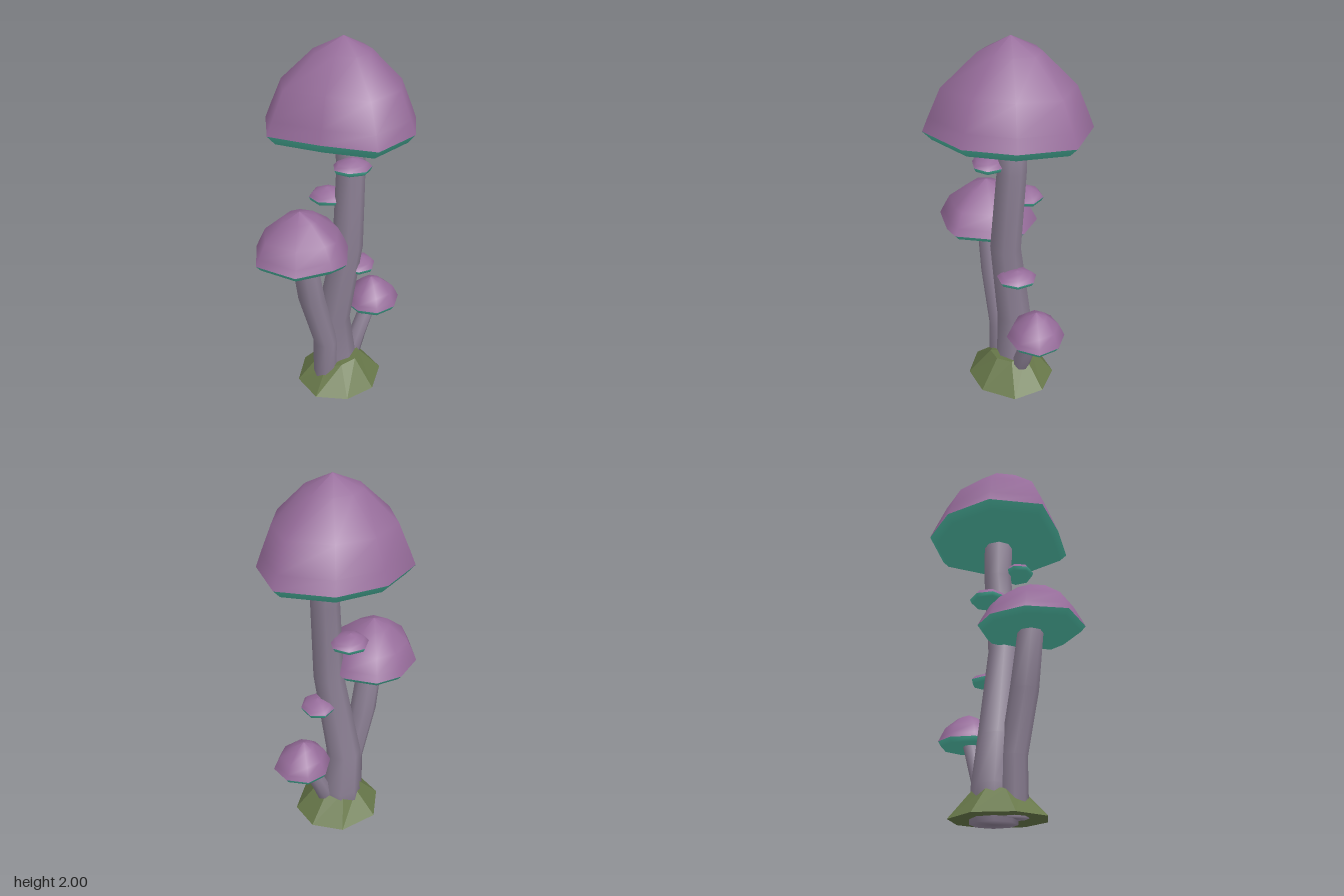
import * as THREE from 'three';

const mat = (name, color, extra = {}) => Object.assign(new THREE.MeshStandardMaterial({ color, ...extra }), { name });

// Skins a stack of closed rings (arrays of [x, y, z]), listed from bottom to top
function loft(rings, { closeBottom = false, closeTop = false } = {}) {
  const n = rings[0].length, pos = rings.flat(2), idx = [];
  for (let r = 0; r < rings.length - 1; r++) {
    for (let i = 0; i < n; i++) {
      const a = r * n + i, b = r * n + (i + 1) % n;
      idx.push(a, a + n, b, b, a + n, b + n);
    }
  }
  const addFan = (ring, start, up) => {
    const c = pos.length / 3;
    for (let k = 0; k < 3; k++) pos.push(ring.reduce((s, p) => s + p[k], 0) / n);
    for (let i = 0; i < n; i++) {
      const a = start + i, b = start + (i + 1) % n;
      idx.push(c, up ? b : a, up ? a : b);
    }
  };
  if (closeBottom) addFan(rings[0], 0, false);
  if (closeTop) addFan(rings[rings.length - 1], (rings.length - 1) * n, true);
  const g = new THREE.BufferGeometry();
  g.setAttribute('position', new THREE.Float32BufferAttribute(pos, 3));
  g.setIndex(idx);
  g.computeVertexNormals();
  return g;
}

// Points around an ellipse in plan, running from +x towards +z
function ellipse(cx, cz, rx, rz, n, phase = 0) {
  return Array.from({ length: n }, (_, i) => {
    const a = phase + i / n * Math.PI * 2;
    return [cx + Math.cos(a) * rx, cz + Math.sin(a) * rz];
  });
}

export function createModel() {
  const group = new THREE.Group();
  const purple = mat('cap purple', 0x966c9a);
  const teal = mat('gill teal', 0x52c4ac);
  const grey = mat('stem mauve grey', 0x8b7f93);
  const moss = mat('mossy ground', 0x68784a, { flatShading: true });

  const add = (name, geometry, material, parent = group) => {
    const mesh = new THREE.Mesh(geometry, material);
    mesh.name = name;
    parent.add(mesh);
  };

  // Faceted dome with a tapered gill plate below; rim is the outline in plan
  function cap(name, rim, [cx, cz], bottom, edge, top) {
    const part = new THREE.Group();
    part.name = name;
    group.add(part);
    const ring = (s, y) => rim.map(([x, z]) => [cx + (x - cx) * s, y, cz + (z - cz) * s]);
    const h = top - edge;
    const profile = [[1, 0], [0.93, 0.16], [0.78, 0.48], [0.37, 0.84], [0.001, 1]];
    add(name + 'Dome', loft(profile.map(([s, t]) => ring(s, edge + h * t))), purple, part);
    add(name + 'Gills', loft([ring(0.9, bottom), ring(1, edge)], { closeBottom: true }), teal, part);
  }

  // Bent stem through rows of [x, y, z, radius]
  function stem(name, rows, sides = 8) {
    const rings = rows.map(([x, y, z, r]) => ellipse(x, z, r, r, sides, 0.2).map(([px, pz]) => [px, y, pz]));
    add(name, loft(rings, { closeBottom: true, closeTop: true }), grey);
  }

  // Stems
  stem('mainStem', [
    [0.02, 0, -0.05, 0.115], [0.025, 0.18, -0.05, 0.11], [0.005, 0.42, -0.04, 0.095],
    [0.075, 0.9, 0.01, 0.081], [0.094, 1.35, -0.02, 0.074], [0.077, 1.56, -0.02, 0.078],
  ]);
  stem('leftStem', [
    [-0.05, 0.02, 0.03, 0.07], [-0.05, 0.31, 0.03, 0.068],
    [-0.13, 0.62, 0.065, 0.072], [-0.177, 0.93, 0.09, 0.065],
  ]);
  stem('rightStem', [[0.1, 0.08, -0.06, 0.052], [0.155, 0.24, -0.09, 0.05], [0.235, 0.44, -0.125, 0.045]]);

  // Large caps
  cap('mainCap', [
    [0.42, -0.02], [0.35, 0.22], [0.13, 0.4], [-0.11, 0.275], [-0.335, 0.12],
    [-0.315, -0.16], [-0.13, -0.345], [0.12, -0.405], [0.375, -0.29],
  ], [0.05, -0.015], 1.535, 1.58, 2);
  cap('leftCap', [
    [0.065, 0.07], [0.02, 0.27], [-0.06, 0.315], [-0.25, 0.355], [-0.425, 0.21],
    [-0.405, 0], [-0.28, -0.14], [-0.14, -0.175], [0.02, -0.09],
  ], [-0.19, 0.1], 0.91, 0.94, 1.17);
  cap('rightCap', [
    [0.412, -0.145], [0.36, -0.035], [0.25, 0.015], [0.145, -0.03],
    [0.1, -0.13], [0.15, -0.25], [0.25, -0.295], [0.36, -0.25],
  ], [0.245, -0.14], 0.42, 0.445, 0.595);

  // Small shelf caps growing out of the main stem
  cap('upperShelf', ellipse(0.077, 0.092, 0.1, 0.085, 7, 0.1), [0.077, 0.092], 1.365, 1.385, 1.435);
  cap('middleShelf', ellipse(-0.012, -0.092, 0.102, 0.1, 7, 0.45), [-0.02, -0.092], 1.135, 1.155, 1.207);
  cap('lowerShelf', ellipse(0.147, -0.045, 0.09, 0.106, 7, 0), [0.15, -0.045], 0.735, 0.755, 0.802);

  // Mossy mound around the foot
  const foot = [[0.285, -0.03], [0.2, 0.15], [0.04, 0.22], [-0.13, 0.17], [-0.205, 0], [-0.14, -0.19], [0.06, -0.265], [0.22, -0.19]];
  const crown = ellipse(0.03, -0.02, 0.12, 0.115, 8);
  const heights = [0.18, 0.18, 0.17, 0.14, 0.15, 0.16, 0.18, 0.18];
  add('groundMound', loft([
    foot.map(([x, z]) => [x, 0.025, z]),
    crown.map(([x, z], i) => [x, heights[i], z]),
  ], { closeBottom: true, closeTop: true }), moss);

  return group;
}
